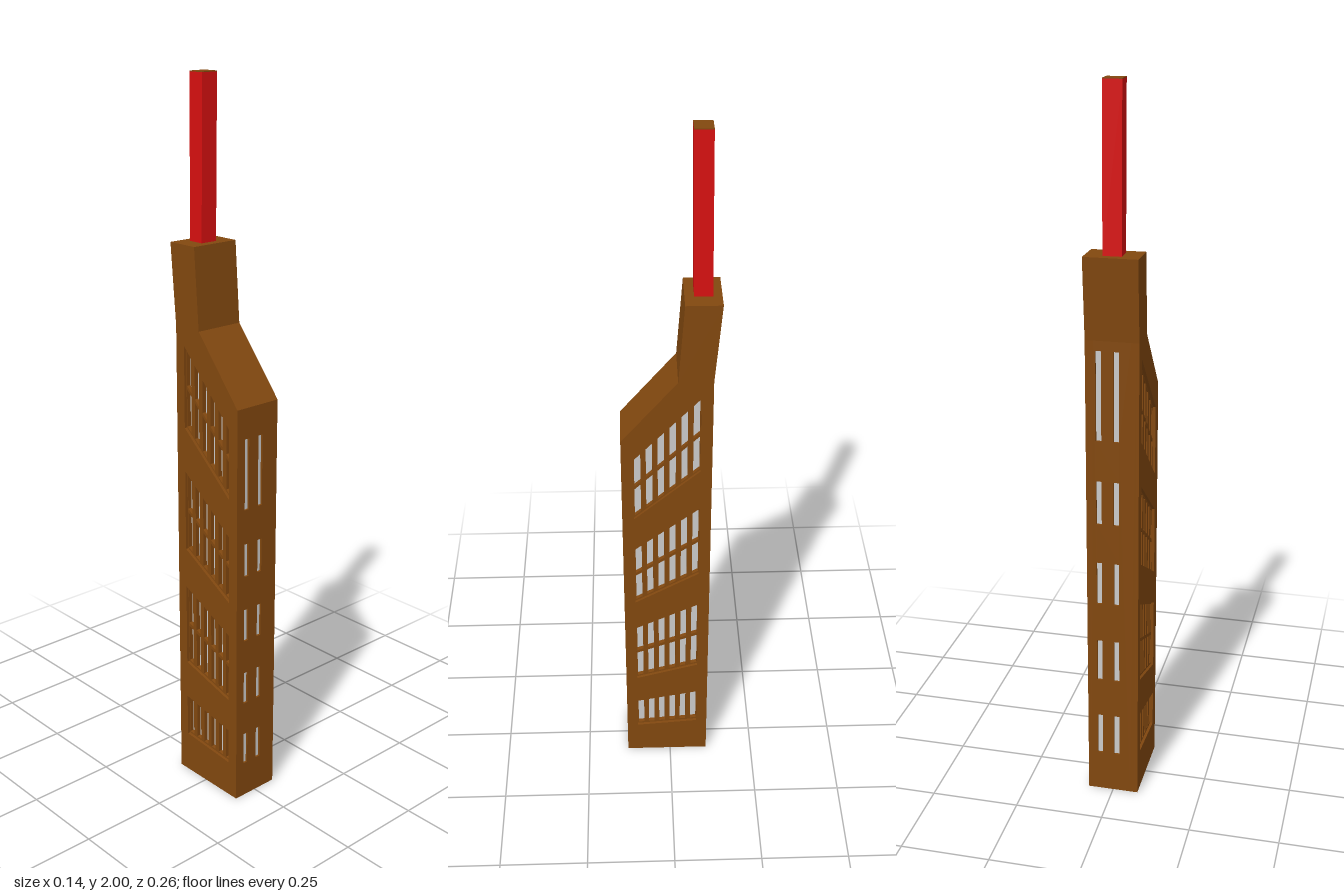
import * as THREE from 'three';

const brown = new THREE.MeshStandardMaterial({ color: 0x82480f });
const red = new THREE.MeshStandardMaterial({ color: 0xd81010 });
const grey = new THREE.MeshStandardMaterial({ color: 0xcccccc });

const HALF = 0.072;     // half width of the tower
const SKIN = 0.008;     // depth of the outer wall
const FRAME = 0.014;    // depth of the window bars
const FRONT = 0.13, BACK = -0.111;

const poly = (pts, Kind = THREE.Shape) => new Kind(pts.map(p => new THREE.Vector2(...p)));

// Extrudes a [z, y] outline along x, from x0 to x0 + depth
function slabX(outline, holes, x0, depth) {
  const shape = poly(outline);
  shape.holes = holes.map(h => poly(h, THREE.Path));
  const g = new THREE.ExtrudeGeometry(shape, { depth, bevelEnabled: false });
  g.rotateY(-Math.PI / 2);
  return g.translate(x0 + depth, 0, 0);
}

// Extrudes an [x, y] outline along z
function slabZ(outline, holes, z0, depth) {
  const shape = poly(outline);
  shape.holes = holes.map(h => poly(h, THREE.Path));
  return new THREE.ExtrudeGeometry(shape, { depth, bevelEnabled: false }).translate(0, 0, z0);
}

const rect = (x0, x1, y0, y1) => [[x0, y0], [x1, y0], [x1, y1], [x0, y1]];

// Slanted window bands: bottom and top height at the front end, then at the back end
const Z0 = 0.098, Z1 = -0.08;
const bands = [
  { f: [0.105, 0.21], b: [0.12, 0.245], rows: 1 },
  { f: [0.307, 0.51], b: [0.357, 0.597], rows: 2 },
  { f: [0.61, 0.805], b: [0.713, 0.945], rows: 2 },
  { f: [0.913, 1.11], b: [1.07, 1.30], rows: 2 },
];

// Height inside a band at depth z, with v from 0 (bottom) to 1 (top)
function bandY(band, z, v) {
  const t = (Z0 - z) / (Z0 - Z1);
  const lo = THREE.MathUtils.lerp(band.f[0], band.b[0], t);
  const hi = THREE.MathUtils.lerp(band.f[1], band.b[1], t);
  return lo + (hi - lo) * v;
}

function bandQuad(band, za, zb, v0, v1, m = 0) {
  return [
    [za, bandY(band, za, v0) + m], [zb, bandY(band, zb, v0) + m],
    [zb, bandY(band, zb, v1) - m], [za, bandY(band, za, v1) - m],
  ];
}

function paneSlots(band) {
  const slots = [];
  for (let i = 0; i < 6; i++) {
    const z = 0.087 - i * 0.0313;
    for (let r = 0; r < band.rows; r++) {
      slots.push(bandQuad(band, z + 0.0085, z - 0.0085, r / band.rows, (r + 1) / band.rows, 0.005));
    }
  }
  return slots;
}

export function createModel() {
  const model = new THREE.Group();
  const add = (name, geometry, material, parent = model) => {
    const mesh = new THREE.Mesh(geometry, material);
    mesh.name = name;
    parent.add(mesh);
  };

  // Core, set back behind the walls and full size above the windows
  const inner = HALF - SKIN - FRAME;
  const crown = [[-0.02, 1.35], [-0.036, 1.57], [-0.13, 1.57], [BACK, 1.35]];
  add('towerCore', slabX([
    [FRONT - SKIN, 0], [FRONT - SKIN, 1.1], [FRONT, 1.1], [FRONT, 1.17], ...crown,
    [BACK, 1.345], [BACK + SKIN, 1.345], [BACK + SKIN, 0],
  ], [], -inner, inner * 2), brown);

  // Side walls: outer skin, barred frames and glass
  const profile = [[FRONT, 0], [FRONT, 1.17], ...crown, [BACK, 0]];
  const openings = bands.map(b => bandQuad(b, Z0, Z1, 0, 1));
  const slots = bands.flatMap(paneSlots);
  for (const [name, s] of [['left', 1], ['right', -1]]) {
    const side = new THREE.Group();
    side.name = name + 'Side';
    const place = (a, depth) => (s > 0 ? a : -a - depth);
    add('sideWall', slabX(profile, openings, place(HALF - SKIN, SKIN), SKIN), brown, side);
    add('windowFrames', slabX(profile, slots, place(inner, FRAME), FRAME), brown, side);
    for (const o of openings) add('sideGlass', slabX(o, [], place(inner, 0.002), 0.002), grey, side);
    model.add(side);
  }

  // Front and back walls with pairs of tall narrow windows
  const ends = [
    { name: 'front', s: 1, z: FRONT - SKIN, top: 1.1, start: 0.105, pitch: 0.195, h: 0.096, last: 0.2 },
    { name: 'back', s: -1, z: BACK, top: 1.345, start: 0.12, pitch: 0.239, h: 0.125, last: 0.247 },
  ];
  for (const e of ends) {
    const holes = [];
    for (let i = 0; i < 5; i++) {
      const y = e.start + i * e.pitch;
      for (const x of [-0.037, 0.011]) {
        holes.push(rect(e.s * x - 0.0075, e.s * x + 0.0075, y, y + (i === 4 ? e.last : e.h)));
      }
    }
    add(e.name + 'Wall', slabZ(rect(-inner, inner, 0, e.top), holes, e.z, SKIN), brown);
    const glassZ = e.s > 0 ? e.z : e.z + SKIN - 0.002;
    for (const h of holes) add(e.name + 'Glass', slabZ(h, [], glassZ, 0.002), grey);
  }

  // Slightly leaning mast with a brown cap
  add('mast', slabX([[-0.06, 1.57], [-0.055, 1.998], [-0.102, 1.998], [-0.107, 1.57]], [], -0.025, 0.05), red);
  add('mastCap', new THREE.BoxGeometry(0.05, 0.002, 0.047).translate(0, 1.999, -0.0785), brown);

  return model;
}
